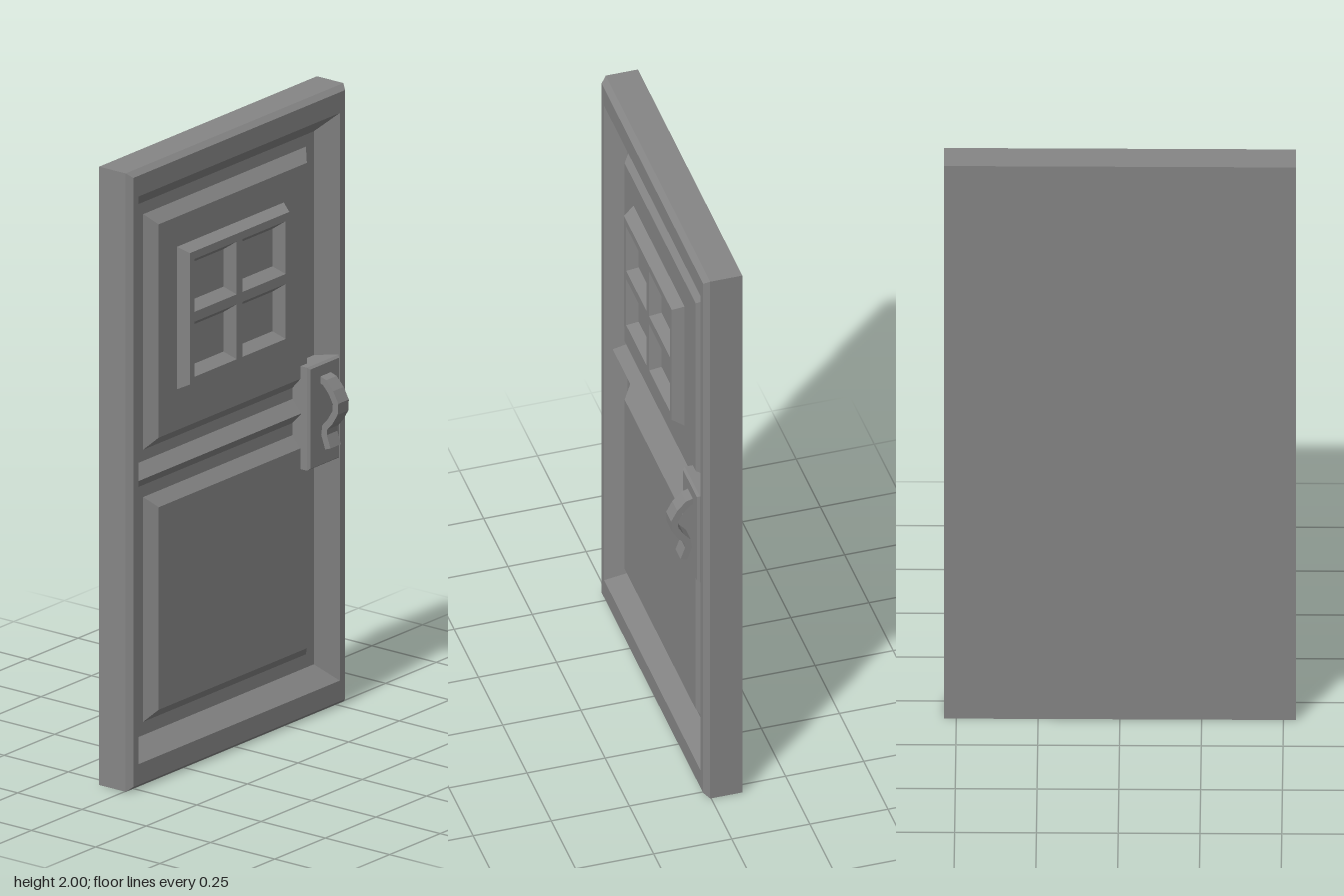
import * as THREE from 'three';

const material = new THREE.MeshStandardMaterial({ color: 0x858585, flatShading: true });

// Skin through rectangular rings [x0, x1, y0, y1, z], optionally closed at either end
function loftRects(rings, { front = true, back = false } = {}) {
  const pos = [], idx = [];
  rings.forEach(([x0, x1, y0, y1, z]) => pos.push(x0, y0, z, x1, y0, z, x1, y1, z, x0, y1, z));
  for (let r = 0; r < rings.length - 1; r++) {
    for (let i = 0; i < 4; i++) {
      const a = r * 4 + i, b = r * 4 + (i + 1) % 4;
      idx.push(a, b, b + 4, a, b + 4, a + 4);
    }
  }
  const n = (rings.length - 1) * 4;
  if (front) idx.push(n, n + 1, n + 2, n, n + 2, n + 3);
  if (back) idx.push(0, 2, 1, 0, 3, 2);
  const g = new THREE.BufferGeometry();
  g.setAttribute('position', new THREE.Float32BufferAttribute(pos, 3));
  g.setIndex(idx);
  const flat = g.toNonIndexed();
  flat.computeVertexNormals();
  return flat;
}

// Shrink a rectangle [x0, x1, y0, y1] by d on every side
const inset = ([x0, x1, y0, y1], d) => [x0 + d, x1 - d, y0 + d, y1 - d];

export function createModel() {
  const door = new THREE.Group();
  door.name = 'door';
  const add = (name, geometry, parent = door) => {
    const mesh = new THREE.Mesh(geometry, material);
    mesh.name = name;
    parent.add(mesh);
  };

  const recessZ = -0.036, panelZ = -0.004, faceZ = 0.021, windowZ = 0.032;

  // Slab with chamfered rim and sloping recess
  const outer = [-0.538, 0.538, 0, 2], opening = [-0.497, 0.497, 0.082, 1.918];
  add('frame', loftRects([
    [...outer, -0.1],
    [...outer, 0.003],
    [...inset(outer, 0.015), faceZ],
    [...opening, faceZ],
    [...inset(opening, 0.056), recessZ],
  ], { back: true }));

  // Raised panels
  const panels = { upperPanel: [-0.402, 0.402, 1.061, 1.823], lowerPanel: [-0.402, 0.402, 0.181, 0.908] };
  for (const [name, rect] of Object.entries(panels)) {
    add(name, loftRects([[...rect, recessZ], [...inset(rect, 0.036), panelZ]]));
  }

  // Ridged rail between the panels
  add('middleRail', loftRects([
    [-0.441, 0.441, 0.947, 1.025, recessZ],
    [-0.476, 0.476, 0.986, 0.986, 0],
  ], { front: false }));

  // Window surround with four sloping panes
  const windowGroup = new THREE.Group();
  windowGroup.name = 'window';
  door.add(windowGroup);
  const surround = [-0.275, 0.252, 1.229, 1.69], rim = inset(surround, 0.018);
  add('windowSides', loftRects([[...surround, panelZ], [...rim, windowZ]], { front: false }), windowGroup);

  const points = ([x0, x1, y0, y1]) =>
    [[x0, y0], [x1, y0], [x1, y1], [x0, y1]].map(([x, y]) => new THREE.Vector2(x, y));
  const bars = new THREE.Shape(points(rim));
  for (const [x0, x1] of [[-0.234, -0.026], [0.002, 0.216]]) {
    for (const [y0, y1] of [[1.266, 1.444], [1.476, 1.647]]) {
      const pane = [x0, x1, y0, y1];
      bars.holes.push(new THREE.Path(points(pane)));
      add('windowPane', loftRects([[...pane, windowZ], [...inset(pane, 0.025), 0]]), windowGroup);
    }
  }
  add('windowBars', new THREE.ShapeGeometry(bars).translate(0, 0, windowZ), windowGroup);

  // Handle plate
  const plate = [0.335, 0.49, 0.805, 1.138];
  add('handlePlate', loftRects([
    [...plate, recessZ], [...plate, faceZ], [...inset(plate, 0.006), 0.029],
  ], { back: true }));

  // Curved grip: a (z, y) path thickened into a ribbon and extruded across x
  const path = [[0.02, 1.088], [0.045, 1.08], [0.07, 1.053], [0.088, 1.02], [0.086, 0.99],
    [0.066, 0.957], [0.046, 0.935], [0.043, 0.91], [0.058, 0.868]].map(([z, y]) => new THREE.Vector2(z, y));
  const side = (half) => path.map((p, i) => {
    const t = path[Math.min(i + 1, path.length - 1)].clone().sub(path[Math.max(i - 1, 0)]).normalize();
    return new THREE.Vector2(p.x - t.y * half, p.y + t.x * half);
  });
  const ribbon = new THREE.Shape([...side(0.011), ...side(-0.011).reverse()]);
  const grip = new THREE.ExtrudeGeometry(ribbon, { depth: 0.052, bevelEnabled: false });
  grip.rotateY(-Math.PI / 2).translate(0.443, 0, 0);
  add('handleGrip', grip);

  return door;
}
